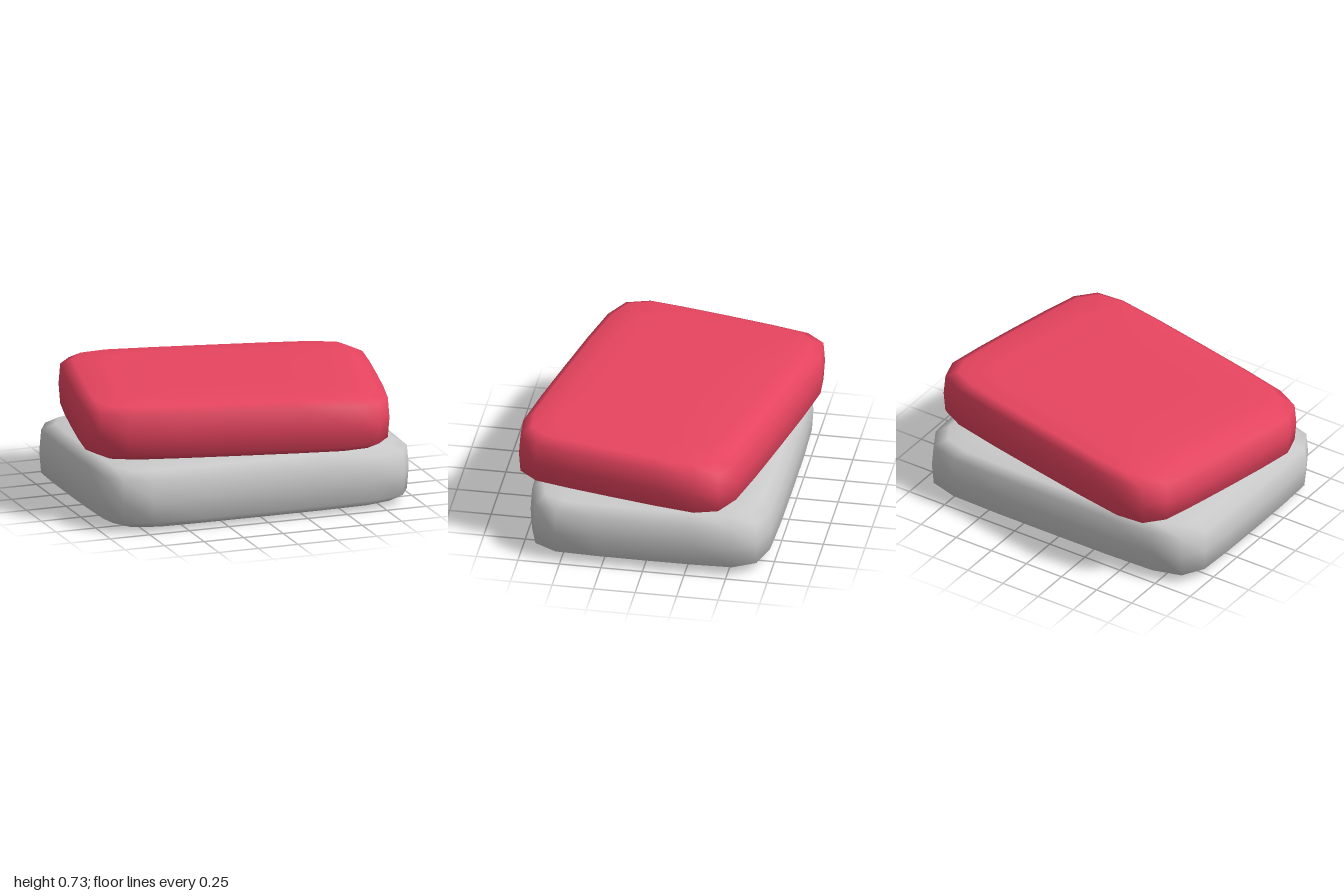
import * as THREE from 'three';

// One quarter of the unit plan outline: slightly bulged edges and a soft corner
const CORNER = [[1, 0], [0.998, 0.4], [0.988, 0.73], [0.91, 0.915], [0.73, 0.985], [0.4, 0.998]];
// Rings from bottom to top: [height fraction, plan scale]
const RINGS = [
  [0, 0.4], [0.01, 0.73], [0.045, 0.915], [0.155, 0.99], [0.5, 1],
  [0.845, 0.99], [0.955, 0.915], [0.99, 0.73], [1, 0.4],
];

// Full outline, mirrored from the quarter
function outline() {
  const right = CORNER, q = [];
  const top = [...right.slice(1)].reverse().map(([x, z]) => [-x, z]);
  q.push(...right, [0, 1], ...top);
  return [...q, ...q.map(([x, z]) => [-x, -z])];
}

// Soft-edged slab skinned through scaled rings and closed at both ends
function softSlab(halfW, halfD, height) {
  const plan = outline(), n = plan.length;
  const pos = [0, 0, 0], index = [];
  for (const [h, s] of RINGS)
    for (const [x, z] of plan) pos.push(x * s * halfW, h * height, z * s * halfD);
  pos.push(0, height, 0);
  const last = pos.length / 3 - 1;
  const at = (r, i) => 1 + r * n + (i % n);
  for (let i = 0; i < n; i++) {
    index.push(0, at(0, i), at(0, i + 1));
    for (let r = 0; r < RINGS.length - 1; r++) {
      const a = at(r, i), b = at(r, i + 1), c = at(r + 1, i + 1), d = at(r + 1, i);
      index.push(a, c, b, a, d, c);
    }
    index.push(last, at(RINGS.length - 1, i + 1), at(RINGS.length - 1, i));
  }
  const geo = new THREE.BufferGeometry();
  geo.setAttribute('position', new THREE.Float32BufferAttribute(pos, 3));
  geo.setIndex(index);
  geo.computeVertexNormals();
  return geo;
}

export function createModel() {
  const group = new THREE.Group();
  const add = (name, geo, color, y, turn) => {
    const mesh = new THREE.Mesh(geo, new THREE.MeshStandardMaterial({ color }));
    mesh.name = name;
    mesh.position.y = y;
    mesh.rotation.y = turn;
    group.add(mesh);
  };

  // Grey slab underneath, red slab turned slightly on top
  add('lowerSlab', softSlab(0.98, 0.735, 0.383), 0xcccccc, 0, 0);
  add('upperSlab', softSlab(0.926, 0.697, 0.355), 0xe94560, 0.375, -0.208);
  return group;
}
